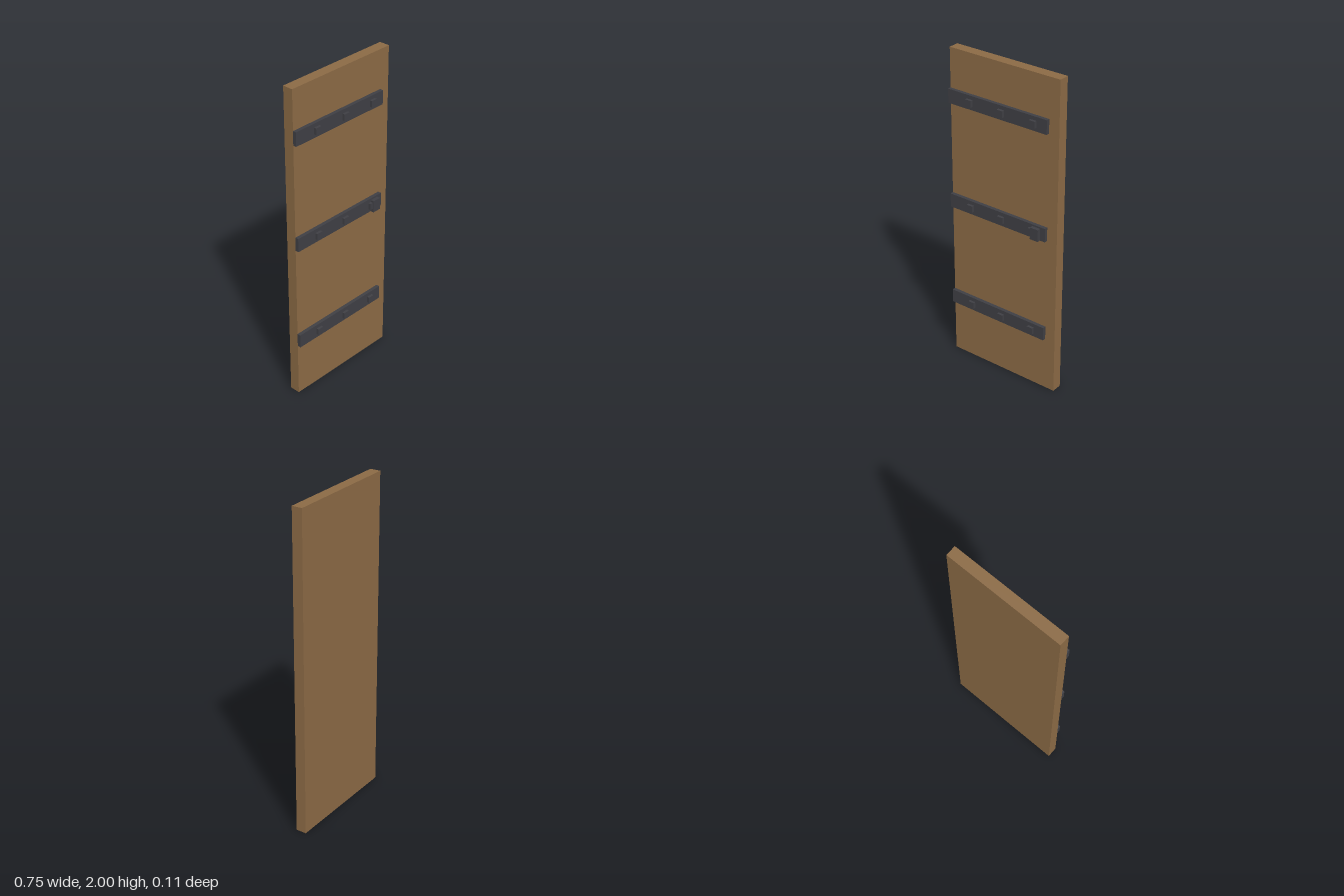
import * as THREE from 'three';

const wood = new THREE.MeshStandardMaterial({ color: 0x8b6a45 });
const iron = new THREE.MeshStandardMaterial({ color: 0x3f3f44 });

// Box given by its extents on each axis
function box(name, material, [x0, x1], [y0, y1], [z0, z1]) {
  const mesh = new THREE.Mesh(new THREE.BoxGeometry(x1 - x0, y1 - y0, z1 - z0), material);
  mesh.position.set((x0 + x1) / 2, (y0 + y1) / 2, (z0 + z1) / 2);
  mesh.name = name;
  return mesh;
}

export function createModel() {
  const door = new THREE.Group();
  door.name = 'door';

  // Wooden slab
  door.add(box('doorPanel', wood, [-0.375, 0.375], [0, 2], [-0.055, 0.01]));

  // Iron straps, flush with the hinge edge, each with three square studs
  for (const y of [0.39, 1.0525, 1.715]) {
    const strap = new THREE.Group();
    strap.name = 'hingeStrap';
    strap.add(box('strapBand', iron, [-0.375, 0.308], [y - 0.043, y + 0.043], [0.01, 0.032]));
    for (const x of [-0.22, 0, 0.22]) {
      strap.add(box('stud', iron, [x - 0.02, x + 0.02], [y - 0.02, y + 0.02], [0.03, 0.048]));
    }
    door.add(strap);
  }

  // Handle block on the middle strap
  door.add(box('handle', iron, [0.22, 0.275], [1.01, 1.085], [0.03, 0.054]));

  return door;
}
